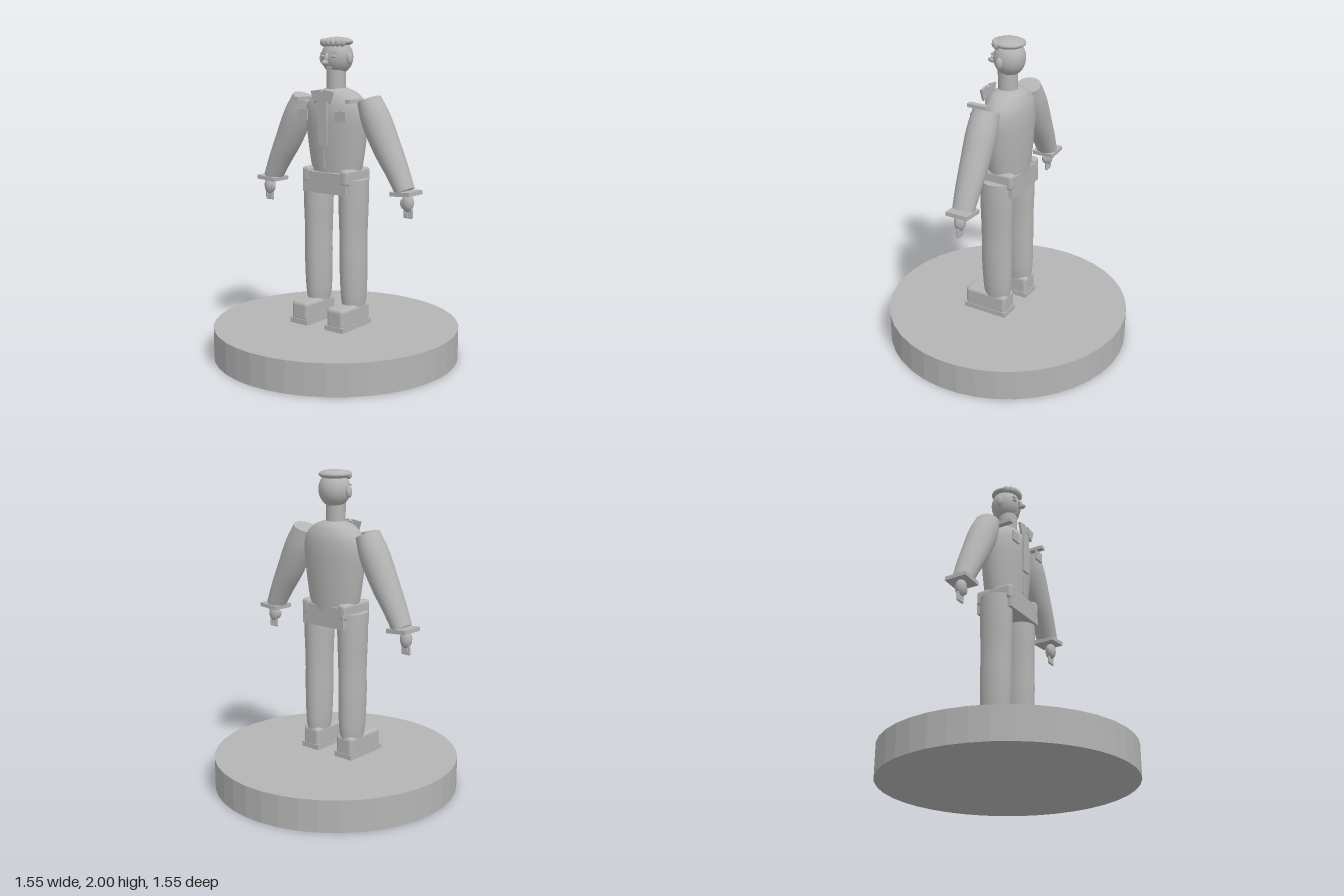
import * as THREE from 'three';
import { RoundedBoxGeometry } from 'three/addons/geometries/RoundedBoxGeometry.js';

// Smooth capped tube through elliptical sections [x, y, z, halfWidth, halfDepth], listed bottom to top.
function loft(sections, rows = 20, sides = 32) {
  const centre = new THREE.CatmullRomCurve3(sections.map(s => new THREE.Vector3(s[0], s[1], s[2])));
  const radii = new THREE.CatmullRomCurve3(sections.map(s => new THREE.Vector3(s[3], s[4], s[1])));
  const pos = [], index = [];
  const ring = t => {
    const c = centre.getPoint(t), r = radii.getPoint(t), d = centre.getTangent(t);
    const first = pos.length / 3;
    for (let j = 0; j < sides; j++) {
      const a = j / sides * Math.PI * 2, u = Math.cos(a) * r.x;
      pos.push(c.x + d.y * u, c.y - d.x * u, c.z + Math.sin(a) * r.y);
    }
    return first;
  };
  for (let i = 0; i <= rows; i++) ring(i / rows);
  for (let i = 0; i < rows; i++) for (let j = 0; j < sides; j++) {
    const k = (j + 1) % sides, a = i * sides, b = a + sides;
    index.push(a + j, b + j, a + k, a + k, b + j, b + k);
  }
  // Separate end caps keep the rims sharp
  for (const t of [0, 1]) {
    const f = ring(t), c = centre.getPoint(t), m = pos.length / 3;
    pos.push(c.x, c.y, c.z);
    for (let j = 0; j < sides; j++) {
      const k = (j + 1) % sides;
      index.push(m, f + (t ? k : j), f + (t ? j : k));
    }
  }
  const g = new THREE.BufferGeometry();
  g.setAttribute('position', new THREE.Float32BufferAttribute(pos, 3));
  g.setIndex(index);
  g.computeVertexNormals();
  return g;
}

export function createModel() {
  const model = new THREE.Group();
  const figure = new THREE.Group();
  figure.name = 'figure';
  figure.rotation.y = -0.115;
  model.add(figure);

  const grey = new THREE.MeshStandardMaterial({ color: 0xb4b4b4 });
  grey.name = 'plain grey';

  const add = (name, geo, x = 0, y = 0, z = 0, parent = figure) => {
    const m = new THREE.Mesh(geo, grey);
    m.name = name;
    m.position.set(x, y, z);
    parent.add(m);
    return m;
  };
  const box = (name, w, h, d, x, y, z) => add(name, new THREE.BoxGeometry(w, h, d), x, y, z);
  const rounded = (name, w, h, d, r, x, y, z) => add(name, new RoundedBoxGeometry(w, h, d, 3, r), x, y, z);
  const ball = (name, rx, ry, rz, x, y, z) => {
    const m = add(name, new THREE.SphereGeometry(1, 20, 14), x, y, z);
    m.scale.set(rx, ry, rz);
    return m;
  };

  // Round stand with faceted rim
  const stand = new THREE.CylinderGeometry(0.775, 0.775, 0.2, 40).toNonIndexed();
  stand.computeVertexNormals();
  add('stand', stand, 0, 0.1, 0, model);

  // Torso and neck
  add('torso', loft([
    [0, 1.15, -0.01, 0.165, 0.115], [0, 1.25, -0.01, 0.185, 0.123], [0, 1.38, -0.01, 0.205, 0.131],
    [0, 1.52, -0.01, 0.22, 0.134], [0, 1.6, -0.01, 0.203, 0.125], [0, 1.66, -0.01, 0.145, 0.1],
    [0, 1.69, -0.01, 0.065, 0.065],
  ], 30, 40));
  add('neck', new THREE.CylinderGeometry(0.06, 0.06, 0.13, 24), 0, 1.735, 0);

  // Head and face
  ball('head', 0.1, 0.108, 0.096, 0, 1.878, -0.012);
  const bridge = ball('noseBridge', 0.012, 0.03, 0.014, 0, 1.875, 0.095);
  bridge.rotation.x = -0.35;
  ball('noseTip', 0.016, 0.016, 0.027, 0, 1.845, 0.108);
  box('upperLip', 0.036, 0.007, 0.012, 0, 1.816, 0.07);
  box('lowerLip', 0.026, 0.007, 0.012, 0, 1.805, 0.066);
  for (const s of [-1, 1]) {
    ball('ear', 0.016, 0.035, 0.022, s * 0.104, 1.868, 0);
    ball('eye', 0.017, 0.008, 0.01, s * 0.042, 1.881, 0.077);
    const brow = box('eyebrow', 0.036, 0.007, 0.012, s * 0.042, 1.903, 0.076);
    brow.rotation.z = -s * 0.12;
  }

  // Hair cap with a fringe of curls
  ball('hairCap', 0.098, 0.03, 0.096, 0, 1.968, -0.012);
  for (let i = -3; i <= 3; i++) {
    const a = i * 0.34;
    ball('curl', 0.02, 0.024, 0.02, Math.sin(a) * 0.086, 1.964, Math.cos(a) * 0.086 - 0.012);
  }

  // Shirt front
  box('tie', 0.066, 0.31, 0.014, 0, 1.505, 0.132);
  box('tieKnot', 0.05, 0.04, 0.02, 0, 1.655, 0.132);
  box('shirtSeam', 0.007, 0.13, 0.012, 0, 1.27, 0.114);

  // Belt
  box('belt', 0.33, 0.13, 0.245, 0, 1.115, 0);

  for (const s of [-1, 1]) {
    const side = new THREE.Shape([[0.012, 1.685], [0.085, 1.675], [0.06, 1.6], [0.028, 1.62]]
      .map(p => new THREE.Vector2(p[0] * s, p[1])));
    add('collar', new THREE.ExtrudeGeometry(side, { depth: 0.014, bevelEnabled: false }), 0, 0, 0.13);
    box('pocket', 0.076, 0.064, 0.012, s * 0.145, 1.53, 0.146);
    box('shoulderStrap', 0.036, 0.022, 0.125, s * 0.2, 1.622, 0.088);
    rounded('beltPouch', 0.06, 0.1, 0.25, 0.02, s * 0.145, 1.155, 0);

    // Arm, cuff and hand
    add('arm', loft([
      [s * 0.515, 1.1, 0, 0.057, 0.068], [s * 0.455, 1.22, 0, 0.07, 0.078], [s * 0.385, 1.345, 0, 0.085, 0.086],
      [s * 0.3, 1.515, 0, 0.09, 0.092], [s * 0.25, 1.627, 0, 0.07, 0.082],
    ]));
    const cuff = box('cuff', 0.14, 0.025, 0.145, s * 0.522, 1.09, 0);
    cuff.rotation.z = s * 0.07;
    ball('palm', 0.038, 0.055, 0.034, s * 0.54, 1.035, 0.008);
    const thumb = ball('thumb', 0.014, 0.03, 0.016, s * 0.508, 1.025, 0.015);
    thumb.rotation.z = s * 0.25;
    for (let i = 0; i < 4; i++) {
      add('finger', new THREE.CapsuleGeometry(0.0085, 0.045, 4, 10), s * (0.521 + i * 0.015), 0.972, 0.006);
    }

    // Leg
    add('leg', loft([
      [s * 0.138, 0.34, -0.004, 0.066, 0.085], [s * 0.138, 0.42, -0.003, 0.074, 0.094],
      [s * 0.138, 0.62, 0, 0.08, 0.1], [s * 0.137, 0.78, 0, 0.079, 0.1],
      [s * 0.137, 1.0, 0, 0.087, 0.105], [s * 0.137, 1.14, 0, 0.088, 0.104],
    ]));

    // Shoe
    box('sole', 0.137, 0.032, 0.3, s * 0.138, 0.231, 0.055);
    rounded('shoe', 0.128, 0.13, 0.29, 0.025, s * 0.138, 0.293, 0.055);
  }
  return model;
}
